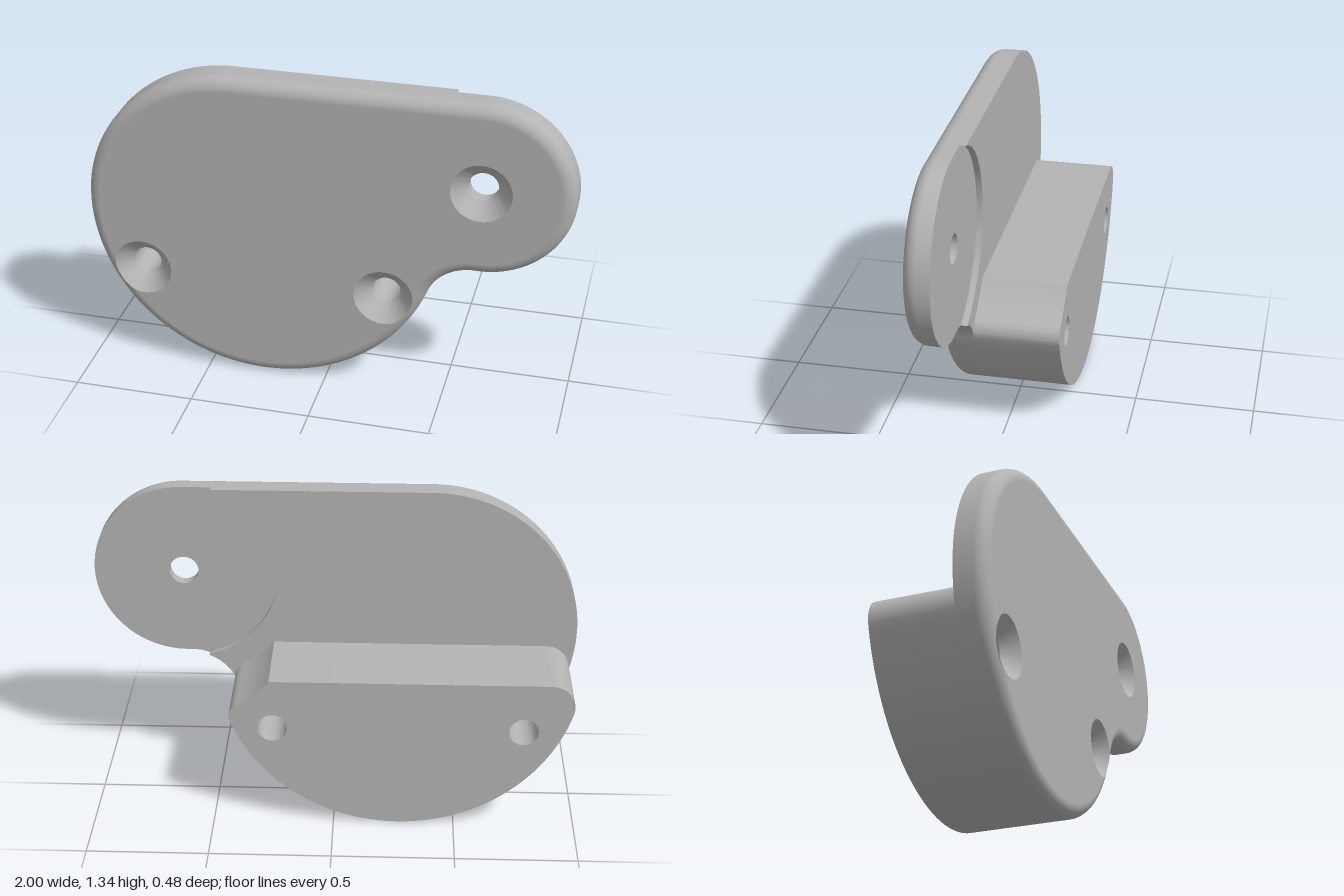
import * as THREE from 'three';
import { toCreasedNormals } from 'three/addons/utils/BufferGeometryUtils.js';

const V = (x, y) => new THREE.Vector2(x, y);
const FRONT = 0.24, PAD = 0.13, BACK = 0.105, END = -0.24;  // z levels
const ROUND = 0.055;                                        // front edge radius
const BORE = 0.06, SINK = 0.123;                            // screw hole radii
const C = V(-0.265, 0.735), CR = 0.735;                     // large lobe
const P = V(0.63, 0.975), PR = 0.37;                        // small lobe
const lowHoles = [V(-0.775, 0.445), V(0.25, 0.445)];
const holes = [...lowHoles, P];

const dir = (from, to) => Math.atan2(to.y - from.y, to.x - from.x);
const polar = (c, r, a) => V(c.x + r * Math.cos(a), c.y + r * Math.sin(a));

// Points along an arc; each carries its outward normal (reversed when concave)
function arc(c, r, a0, a1, n, sign = 1) {
  return Array.from({ length: n + 1 }, (_, i) => {
    const a = a0 + (a1 - a0) * i / n;
    const p = polar(c, r, a);
    p.normal = V(Math.cos(a) * sign, Math.sin(a) * sign);
    return p;
  });
}

// Point at distance r1 from C and r2 from P, on the lower side
function below(r1, r2) {
  const d = C.distanceTo(P), a = (d * d + r1 * r1 - r2 * r2) / (2 * d);
  return polar(C, r1, dir(C, P) - Math.acos(a / r1));
}

// Quad skin over closed rings of [x, y, z] points
function loft(rings, normals) {
  const n = rings[0].length, index = [];
  for (let i = 0; i < rings.length - 1; i++) {
    for (let j = 0; j < n; j++) {
      const k = (j + 1) % n, a = i * n + j, b = i * n + k;
      index.push(a, b, b + n, a, b + n, a + n);
    }
  }
  const g = new THREE.BufferGeometry();
  g.setAttribute('position', new THREE.Float32BufferAttribute(rings.flat(2), 3));
  g.setIndex(index);
  if (normals) g.setAttribute('normal', new THREE.Float32BufferAttribute(normals.flat(2), 3));
  return normals ? g : toCreasedNormals(g, 0.5);
}

function shapeOf(points, cut) {
  const s = new THREE.Shape(points);
  for (const h of cut) s.holes.push(new THREE.Path(arc(h.c, h.r, 0, -Math.PI * 2, 48).slice(0, -1)));
  return s;
}
const bores = list => list.map(c => ({ c, r: BORE }));

function slab(points, cut, z0, z1) {
  const g = new THREE.ExtrudeGeometry(shapeOf(points, cut), { depth: z1 - z0, bevelEnabled: false });
  return toCreasedNormals(g.translate(0, 0, z0), 0.4);
}

export function createModel() {
  const group = new THREE.Group();
  const grey = new THREE.MeshStandardMaterial({ color: 0xb4b4b4, side: THREE.DoubleSide });
  grey.name = 'grey';
  const add = (name, geometry) => {
    const m = new THREE.Mesh(geometry, grey);
    m.name = name;
    group.add(m);
  };

  // Plate outline, counter-clockwise: large lobe, concave neck, small lobe, top corner
  const neckR = 0.2, F = below(CR + neckR, PR + neckR);
  const outline = [
    ...arc(C, CR, Math.PI, dir(C, F) + Math.PI * 2, 120),
    ...arc(F, neckR, dir(F, C), dir(F, P), 24, -1).slice(1),
    ...arc(P, PR, dir(P, F), Math.PI / 2, 64).slice(1),
    ...arc(V(-0.39, 0.735), 0.61, Math.PI / 2, Math.PI, 48).slice(0, -1),
  ];
  const inset = d => outline.map(p => p.clone().addScaledVector(p.normal, -d));

  // Rim: straight wall, then rounded front edge, dipping under the countersinks
  const rings = [], normals = [];
  const addRing = (d, z, tilt) => {
    rings.push(inset(d).map(p => {
      let h = z;
      for (const c of lowHoles) {
        const r = p.distanceTo(c);
        if (r < SINK) h = Math.min(h, FRONT - SINK + r - 0.002);
      }
      return [p.x, p.y, h];
    }));
    normals.push(outline.map(p => [p.normal.x * Math.cos(tilt), p.normal.y * Math.cos(tilt), Math.sin(tilt)]));
  };
  addRing(0, PAD, 0);
  for (let i = 0; i <= 10; i++) {
    const t = i / 10 * Math.PI / 2;
    addRing(ROUND * (1 - Math.cos(t)), FRONT - ROUND * (1 - Math.sin(t)), t);
  }
  add('plateRim', loft(rings, normals));

  // Front face, notched where the two lower countersinks break its edge
  const face = [], flatR = CR - ROUND, done = new Set();
  for (const p of inset(ROUND)) {
    const h = lowHoles.find(c => c.distanceTo(p) < SINK);
    if (!h) face.push(p);
    else if (!done.has(h)) {
      done.add(h);
      const d = h.distanceTo(C), a = dir(C, h);
      const b = Math.acos((flatR * flatR - d * d - SINK * SINK) / (2 * d * SINK));
      face.push(...arc(h, SINK, a - b, a + b - Math.PI * 2, 40));
    }
  }
  add('plateFront', new THREE.ShapeGeometry(shapeOf(face, [{ c: P, r: SINK }])).translate(0, 0, FRONT));

  // Back of the thin lobe
  const back = new THREE.ShapeGeometry(shapeOf(outline, bores(holes)));
  add('plateBack', back.rotateY(Math.PI).scale(-1, 1, 1).translate(0, 0, PAD));
  const ix = back.index.array;
  for (let i = 0; i < ix.length; i += 3) [ix[i], ix[i + 1]] = [ix[i + 1], ix[i]];
  back.computeVertexNormals();

  // Countersunk screw holes, trimmed by the rounded edge
  for (const h of holes) {
    const top = [], mid = [], low = [];
    for (let i = 0; i < 48; i++) {
      const a = i / 48 * Math.PI * 2;
      let r = SINK;
      while (h !== P) {
        const t = polar(h, r, a).distanceTo(C) - flatR;
        const drop = t > 0 ? ROUND - Math.sqrt(ROUND * ROUND - t * t) : 0;
        if (SINK - r >= drop) break;
        r -= 0.0005;
      }
      const ring = (rad, z) => { const p = polar(h, rad, a); return [p.x, p.y, z]; };
      top.push(ring(r, FRONT - SINK + r));
      mid.push(ring(BORE, FRONT - SINK + BORE));
      low.push(ring(BORE, PAD));
    }
    add('countersunkHole', loft([top, mid, low]));
  }

  // Raised backing, cut by a round recess behind the small lobe
  const recess = 0.39;
  const kept = outline.filter(p => p.distanceTo(P) > recess);
  const split = kept.findIndex(p => p.y > 1.3);
  const exitA = Math.PI - Math.asin(PR / recess);
  const startA = dir(P, kept[split - 1]) + Math.PI * 2;
  const backing = [...kept.slice(0, split), ...arc(P, recess, startA, exitA, 40).slice(1), ...kept.slice(split)];
  add('backing', slab(backing, bores(lowHoles), BACK, PAD));

  // Mounting block with rounded corners and a curved clearance on one side
  const topY = 0.66, clear = 0.485, kr = 0.06, lr = 0.1;
  const K = below(CR - kr, clear + kr);
  const ly = topY - lr;
  const L = V(C.x - Math.sqrt((CR - lr) ** 2 - (ly - C.y) ** 2), ly);
  const leftA = dir(C, L) + (dir(C, L) < 0 ? Math.PI * 2 : 0);
  const block = [
    ...arc(C, CR, leftA, dir(C, K) + Math.PI * 2, 110),
    ...arc(K, kr, dir(C, K), dir(K, P), 14).slice(1),
    ...arc(P, clear, dir(P, K) + Math.PI * 2, Math.PI + Math.asin((P.y - topY) / clear), 14).slice(1),
    ...arc(L, lr, Math.PI / 2, leftA, 16).slice(0, -1),
  ];
  add('mountingBlock', slab(block, bores(lowHoles), END, BACK));

  return group;
}
